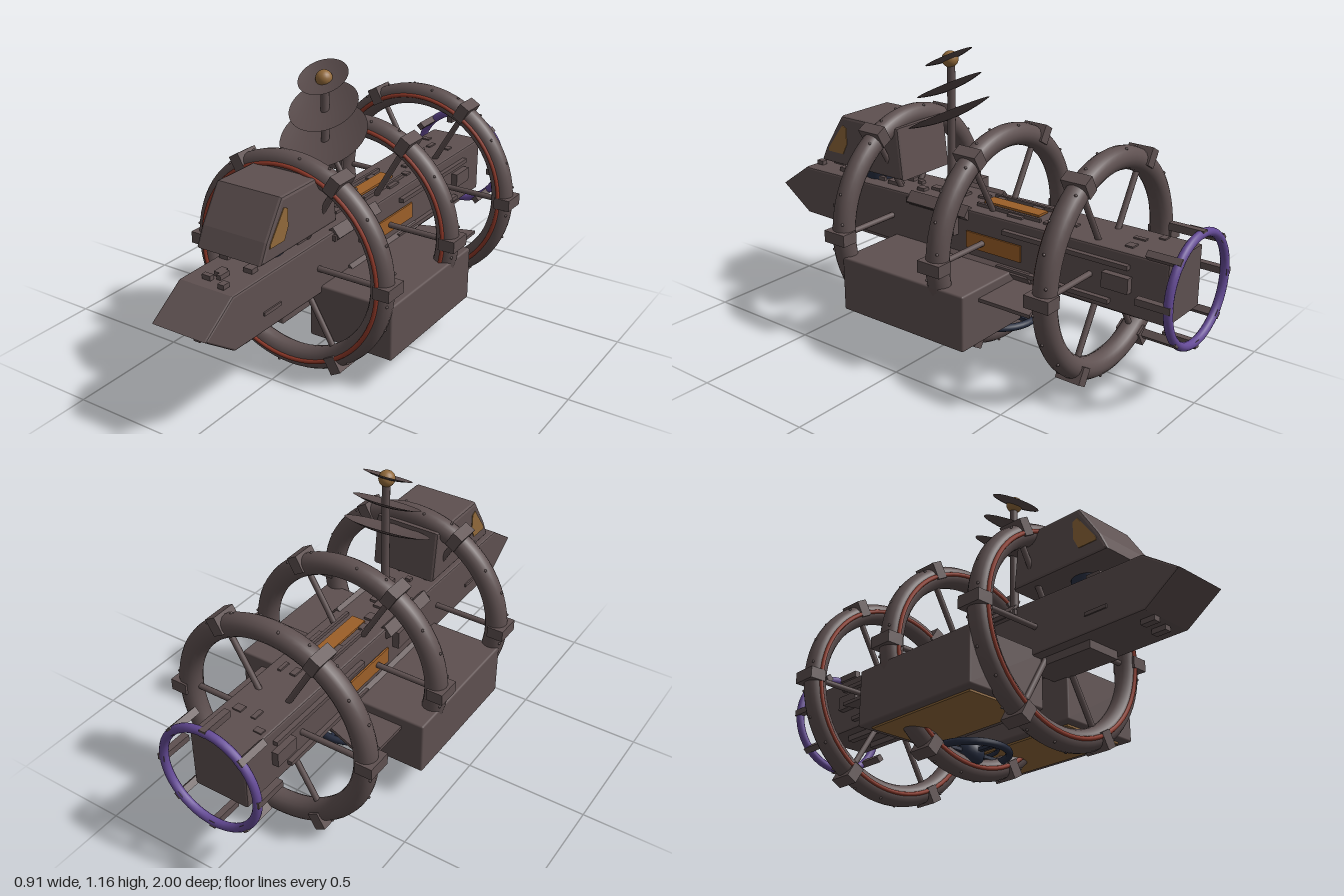
import * as THREE from 'three';
import { RoundedBoxGeometry } from 'three/addons/geometries/RoundedBoxGeometry.js';

const paint = (name, color, side = THREE.FrontSide) => {
  const m = new THREE.MeshStandardMaterial({ color, side });
  m.name = name;
  return m;
};

export function createModel() {
  const hullGrey = paint('hull grey brown', 0x5e5050);
  const dishGrey = paint('dish grey brown', 0x594b4b, THREE.DoubleSide);
  const red = paint('ring red', 0x8f3828);
  const purple = paint('drive purple', 0x644a96);
  const orange = paint('panel orange', 0x9c5f28);
  const tan = paint('window tan', 0x91693a);
  const navy = paint('dark navy', 0x262d40);

  const root = new THREE.Group();
  root.name = 'spaceship';
  const AXIS = 0.455;

  const add = (name, geo, mat, x = 0, y = 0, z = 0, parent = root) => {
    const m = new THREE.Mesh(geo, mat);
    m.name = name;
    m.position.set(x, y, z);
    parent.add(m);
    return m;
  };
  const box = (name, w, h, d, mat, x, y, z, parent) =>
    add(name, new THREE.BoxGeometry(w, h, d), mat, x, y, z, parent);
  const group = (name, y, z) => {
    const g = new THREE.Group();
    g.name = name;
    g.position.set(0, y, z);
    root.add(g);
    return g;
  };
  // Side profile in (z, y), extruded across x
  const sideExtrude = (pts, width, bevel) => {
    const shape = new THREE.Shape(pts.map(p => new THREE.Vector2(...p)));
    const depth = width - 2 * bevel;
    return new THREE.ExtrudeGeometry(shape, {
      depth, bevelEnabled: bevel > 0, bevelSize: bevel, bevelThickness: bevel,
      bevelOffset: -bevel, bevelSegments: 2,
    }).translate(0, 0, -depth / 2).rotateY(-Math.PI / 2);
  };

  // Hull with wedge nose
  add('hull', sideExtrude([[-0.93, 0.337], [0.1, 0.343], [0.85, 0.35], [1.0, 0.455],
    [0.85, 0.56], [0.1, 0.57], [-0.93, 0.576]], 0.24, 0.008), hullGrey);

  // Cabin on its neck
  add('cabinNeck', new THREE.CylinderGeometry(0.068, 0.068, 0.08, 24), navy, 0, 0.595, 0.515);
  add('cabin', sideExtrude([[0.265, 0.625], [0.725, 0.625], [0.69, 0.70], [0.6, 0.838],
    [0.29, 0.838]], 0.29, 0.012), hullGrey);
  const windowPts = [[0.678, 0.675], [0.675, 0.69], [0.593, 0.8], [0.572, 0.79], [0.572, 0.72], [0.595, 0.675]];
  for (const s of [-1, 1])
    add('cabinWindow', sideExtrude(windowPts, 0.006, 0), tan, s * 0.145, 0, 0);

  // Three hoop rings with clamps, spokes, studs and a red front stripe
  for (const z of [0.35, -0.13, -0.61]) {
    const ring = group('hoopRing', AXIS, z);
    add('hoop', new THREE.TorusGeometry(0.4, 0.045, 16, 72), hullGrey, 0, 0, 0, ring);
    add('redStripe', new THREE.TorusGeometry(0.4, 0.009, 8, 72), red, 0, 0, 0.043, ring);
    for (let i = 0; i < 6; i++) {
      const arm = new THREE.Group();
      arm.name = 'ringArm';
      arm.rotation.z = i * Math.PI / 3;
      ring.add(arm);
      box('clamp', 0.07, 0.048, 0.104, hullGrey, 0.421, 0, 0, arm);
      add('spoke', new THREE.CylinderGeometry(0.012, 0.012, 0.3, 10).rotateZ(Math.PI / 2),
        hullGrey, 0.23, 0, 0, arm);
    }
    for (let i = 0; i < 24; i++) {
      const a = (i + 0.5) * Math.PI / 12, t = [-0.6, 0, 0.6][i % 3];
      const r = 0.4 + 0.045 * Math.cos(t);
      add('stud', new THREE.SphereGeometry(0.006, 6, 4), hullGrey,
        r * Math.cos(a), r * Math.sin(a), 0.045 * Math.sin(t), ring);
    }
  }

  // Purple drive ring with eight struts
  const drive = group('driveRing', AXIS, -0.98);
  add('purpleHoop', new THREE.TorusGeometry(0.208, 0.017, 12, 48), purple, 0, 0, 0, drive);
  for (let i = 0; i < 8; i++) {
    const a = i * Math.PI / 4;
    const strut = box('driveStrut', 0.028, 0.026, 0.135, hullGrey,
      0.211 * Math.cos(a), 0.211 * Math.sin(a), 0.053, drive);
    strut.rotation.z = a;
  }

  // Cargo pods, fins, side rails and panels on both sides
  for (const s of [-1, 1]) {
    add('cargoPod', new RoundedBoxGeometry(0.365, 0.225, 0.605, 2, 0.008), hullGrey, s * 0.2475, 0.2625, 0.032);
    box('podFloorPlate', 0.29, 0.009, 0.53, tan, s * 0.2475, 0.147, 0.032);

    const fin = new THREE.Shape([[0.1, 0.1], [0.335, 0.1], [0.335, -0.5], [0.1, -0.42]]
      .map(([x, z]) => new THREE.Vector2(s * x, -z)));
    add('fin', new THREE.ExtrudeGeometry(fin, { depth: 0.014, bevelEnabled: false })
      .rotateX(-Math.PI / 2), hullGrey, 0, 0.323, 0);

    box('sidePanel', 0.008, 0.066, 0.26, orange, s * 0.131, 0.455, -0.18);
    box('panelMount', 0.02, 0.05, 0.25, hullGrey, s * 0.12, 0.455, -0.18);
    box('sideRail', 0.03, 0.018, 0.55, hullGrey, s * 0.125, 0.525, -0.5);
    box('sideRail', 0.024, 0.022, 0.28, hullGrey, s * 0.122, 0.545, 0.12);
    box('sideRail', 0.03, 0.018, 0.5, hullGrey, s * 0.125, 0.375, -0.45);
    box('sideBlock', 0.05, 0.075, 0.08, hullGrey, s * 0.125, 0.495, 0.04);
    box('sideBlock', 0.05, 0.06, 0.11, hullGrey, s * 0.122, 0.46, -0.73);
    box('sideSlot', 0.01, 0.014, 0.1, hullGrey, s * 0.121, 0.42, 0.64);
    // Slanted strips along the hull corners
    for (const [y, t, z, d] of [[0.555, -0.7, 0.1, 0.3], [0.36, 0.7, -0.1, 0.5]]) {
      const strip = box('cornerStrip', 0.03, 0.05, d, hullGrey, s * 0.118, y, z);
      strip.rotation.z = -s * t;
    }
    box('topRail', 0.012, 0.014, 0.3, hullGrey, s * 0.06, 0.579, -0.2);
    box('keelRail', 0.03, 0.03, 0.6, hullGrey, s * 0.06, 0.33, -0.5);
  }
  box('topPanel', 0.06, 0.009, 0.26, orange, 0, 0.58, -0.19);
  box('keelPanel', 0.06, 0.009, 0.26, orange, 0, 0.334, -0.19);
  box('keelBlock', 0.15, 0.04, 0.3, hullGrey, 0, 0.335, 0.42);

  // Small surface fittings on the deck and keel
  let seed = 11;
  const rnd = () => (seed = (seed * 16807) % 2147483647) / 2147483647;
  for (let i = 0; i < 30; i++) {
    const z = i < 14 ? 0.3 + rnd() * 0.52 : -0.85 + rnd() * 1.1;
    const x = (rnd() - 0.5) * 0.18;
    box('deckFitting', 0.015 + rnd() * 0.025, 0.018, 0.02 + rnd() * 0.05, hullGrey, x, 0.572, z);
    if (i % 3 === 0) box('keelFitting', 0.03, 0.02, 0.06, hullGrey, -x, 0.34, z);
  }

  // Mast with three tilted dishes
  add('mast', new THREE.CylinderGeometry(0.016, 0.018, 0.56, 14), hullGrey, 0, 0.84, 0.13);
  for (const [r, y, z] of [[0.098, 1.125, 0.142], [0.136, 1.012, 0.14], [0.173, 0.9, 0.142]]) {
    const profile = [];
    for (let i = 0; i <= 6; i++)
      profile.push(new THREE.Vector2(r * i / 6, r * 0.15 * ((i / 6) ** 2 - 1)));
    const dish = add('dish', new THREE.LatheGeometry(profile, 40), dishGrey, 0, y, z);
    dish.rotation.x = 0.49;
  }
  add('dishFeed', new THREE.SphereGeometry(0.033, 20, 14), tan, 0, 1.117, 0.135);

  // Docking ring below the hull
  const dock = group('dockingRing', 0.11, -0.115);
  add('dockHoop', new THREE.TorusGeometry(0.15, 0.015, 10, 40).rotateX(Math.PI / 2), navy, 0, 0, 0, dock);
  add('dockInnerHoop', new THREE.TorusGeometry(0.105, 0.009, 8, 36).rotateX(Math.PI / 2), navy, 0, 0.018, 0, dock);
  add('dockCore', new THREE.SphereGeometry(0.055, 20, 14), navy, 0, 0, 0, dock);
  for (let i = 0; i < 2; i++)
    box('dockCross', i ? 0.018 : 0.3, 0.014, i ? 0.3 : 0.018, navy, 0, 0.004, 0, dock);

  return root;
}
